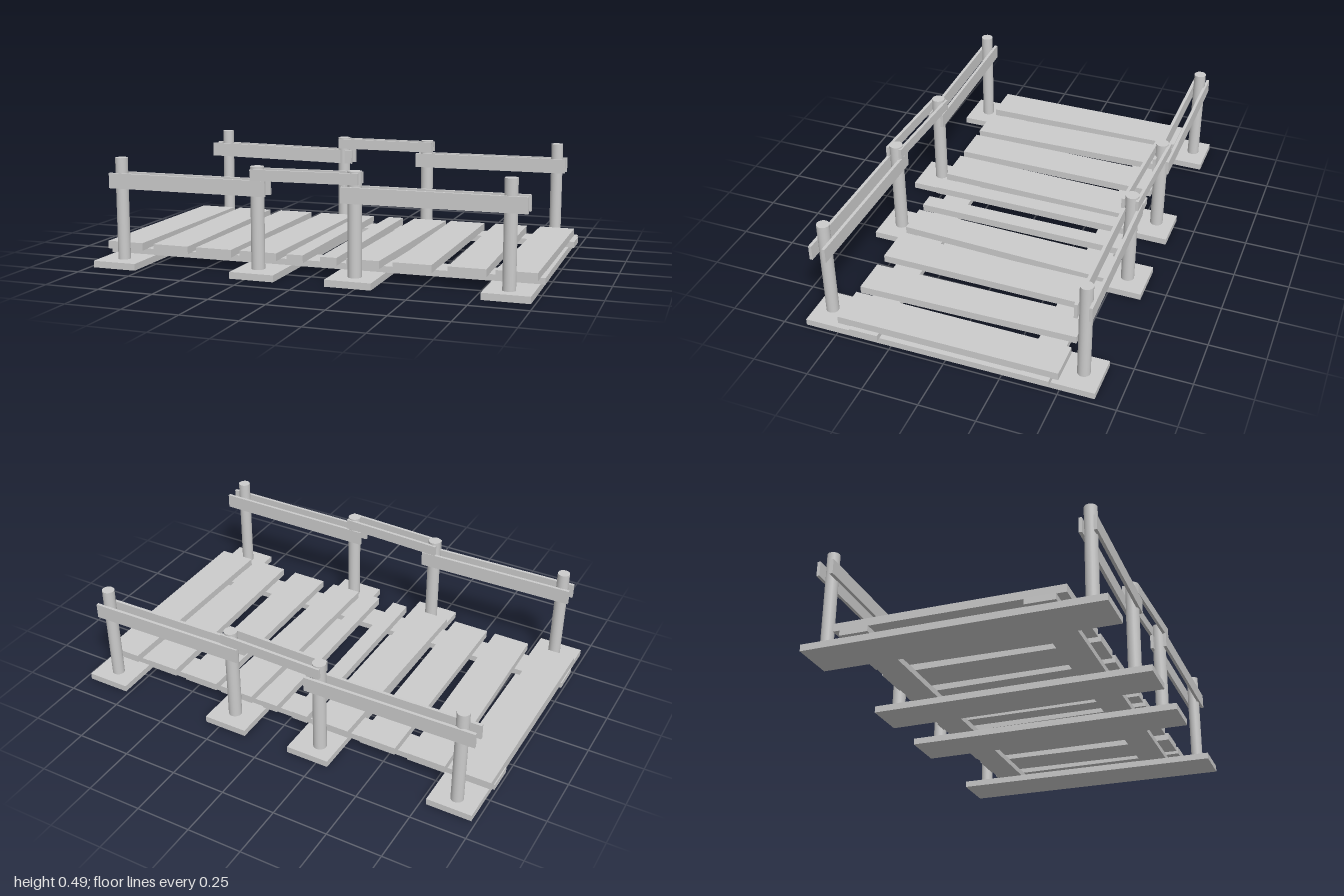
import * as THREE from 'three';

const material = new THREE.MeshStandardMaterial({ color: 0xcccccc });

function add(parent, name, geometry) {
  const mesh = new THREE.Mesh(geometry, material);
  mesh.name = name;
  parent.add(mesh);
  return mesh;
}

// Flat board whose x range differs slightly between its back and front ends
function board(parent, name, [bx0, bx1, fx0, fx1], halfLength, y, thickness) {
  const outline = new THREE.Shape([
    new THREE.Vector2(fx0, -halfLength), new THREE.Vector2(fx1, -halfLength),
    new THREE.Vector2(bx1, halfLength), new THREE.Vector2(bx0, halfLength),
  ]);
  const geometry = new THREE.ExtrudeGeometry(outline, { depth: thickness, bevelEnabled: false });
  geometry.rotateX(-Math.PI / 2);
  add(parent, name, geometry).position.y = y;
}

// Box beam running between two centre points
function beam(parent, name, from, to, height, width) {
  const a = new THREE.Vector3(...from), b = new THREE.Vector3(...to);
  const d = b.clone().sub(a);
  const mesh = add(parent, name, new THREE.BoxGeometry(d.length(), height, width));
  mesh.position.copy(a).add(b).multiplyScalar(0.5);
  mesh.rotation.order = 'YZX';
  mesh.rotation.y = Math.atan2(-d.z, d.x);
  mesh.rotation.z = Math.asin(d.y / d.length());
}

export function createModel() {
  const bridge = new THREE.Group();
  bridge.name = 'woodenFootbridge';

  // Wide sleepers on the ground
  const sleepers = new THREE.Group();
  sleepers.name = 'sleepers';
  bridge.add(sleepers);
  [
    [-0.98, -0.775, -0.98, -0.775],
    [-0.305, -0.105, -0.318, -0.115],
    [0.115, 0.32, 0.115, 0.32],
    [0.77, 0.972, 0.78, 0.983],
  ].forEach((x) => board(sleepers, 'sleeper', x, 0.65, 0, 0.03));

  // Two long stringers under the deck
  beam(bridge, 'backStringer', [-1, 0.043, -0.4], [1, 0.043, -0.4], 0.028, 0.125);
  beam(bridge, 'frontStringer', [-1, 0.043, 0.388], [1, 0.043, 0.367], 0.028, 0.13);

  // Uneven deck planks
  const deck = new THREE.Group();
  deck.name = 'deck';
  bridge.add(deck);
  [
    [-0.995, -0.82, -0.995, -0.82],
    [-0.785, -0.61, -0.763, -0.592],
    [-0.55, -0.38, -0.55, -0.38],
    [-0.32, -0.145, -0.338, -0.165],
    [-0.115, -0.04, -0.115, -0.04],
    [0.04, 0.115, 0.04, 0.115],
    [0.175, 0.34, 0.158, 0.305],
    [0.365, 0.535, 0.365, 0.535],
    [0.59, 0.745, 0.603, 0.768],
    [0.81, 0.975, 0.805, 0.98],
  ].forEach((x) => board(deck, 'plank', x, 0.495, 0.055, 0.035));

  // Railing posts: x, z, top, radius
  const posts = new THREE.Group();
  posts.name = 'posts';
  bridge.add(posts);
  [
    [-0.885, -0.583, 0.488, 0.028], [-0.225, -0.57, 0.478, 0.03],
    [0.22, -0.56, 0.48, 0.03], [0.87, -0.57, 0.488, 0.028],
    [-0.875, 0.56, 0.488, 0.028], [-0.225, 0.55, 0.478, 0.03],
    [0.22, 0.56, 0.48, 0.03], [0.88, 0.575, 0.488, 0.028],
  ].forEach(([x, z, top, r]) => {
    const height = top - 0.03;
    add(posts, 'post', new THREE.CylinderGeometry(r, r, height, 20))
      .position.set(x, 0.03 + height / 2, z);
  });

  // Handrails: a pair of thin boards clamps each run of posts
  const rails = new THREE.Group();
  rails.name = 'handrails';
  bridge.add(rails);
  [
    ['backLeftSpan', [-0.955, 0.39, -0.58], [-0.175, 0.38, -0.58], 0.068],
    ['backMiddleSpan', [-0.245, 0.448, -0.572], [0.25, 0.448, -0.558], 0.048],
    ['backRightSpan', [0.17, 0.383, -0.56], [0.915, 0.383, -0.572], 0.068],
    ['frontLeftSpan', [-0.92, 0.387, 0.56], [-0.178, 0.385, 0.546], 0.068],
    ['frontMiddleSpan', [-0.245, 0.443, 0.548], [0.245, 0.45, 0.562], 0.048],
    ['frontRightSpan', [0.17, 0.382, 0.567], [0.955, 0.384, 0.572], 0.068],
  ].forEach(([name, from, to, height]) => {
    const span = new THREE.Group();
    span.name = name;
    rails.add(span);
    for (const offset of [-0.031, 0.031]) {
      const shift = ([x, y, z]) => [x, y, z + offset];
      beam(span, 'railBoard', shift(from), shift(to), height, 0.014);
    }
  });

  return bridge;
}
